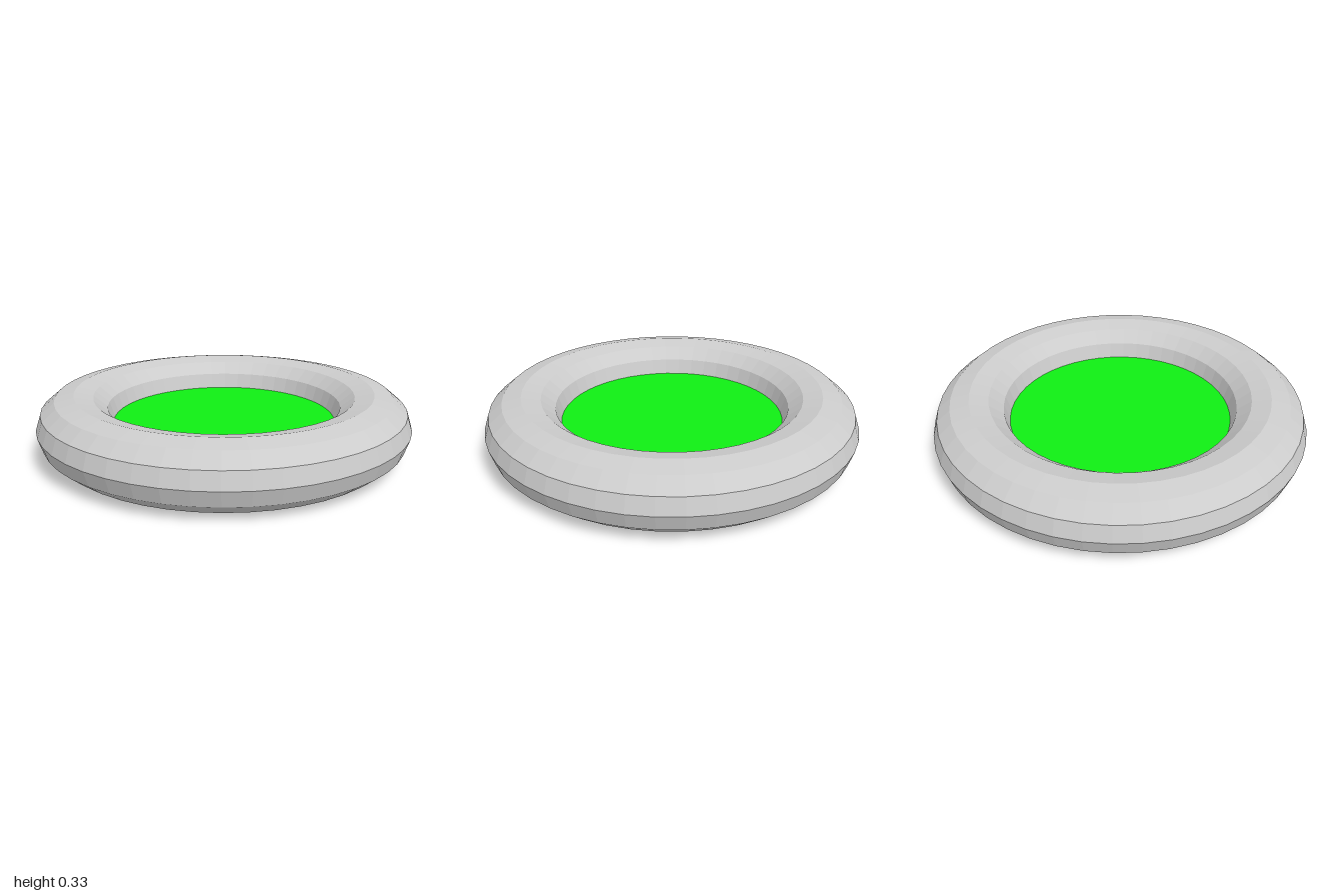
import * as THREE from 'three';

const SEGMENTS = 48; // around the ring
const SIDES = 12;    // around the tube
const MID = 0.165;   // half the height
const RADIUS = 0.8;  // centre line of the tube
const TUBE = 0.2;    // half the tube width

export function createModel() {
  const model = new THREE.Group();

  // Ring: a slightly flattened tube, revolved around y
  const profile = [];
  for (let i = 0; i <= SIDES; i++) {
    const a = (i / SIDES) * Math.PI * 2;
    profile.push(new THREE.Vector2(RADIUS + TUBE * Math.cos(a), MID + MID * Math.sin(a)));
  }
  const ring = new THREE.Mesh(
    new THREE.LatheGeometry(profile, SEGMENTS),
    new THREE.MeshStandardMaterial({ color: 0xcccccc, flatShading: true })
  );
  ring.name = 'ring';
  model.add(ring);

  // Flat panel closing the hole at mid height
  const panel = new THREE.Mesh(
    new THREE.CircleGeometry(RADIUS - TUBE, SEGMENTS).rotateX(-Math.PI / 2),
    new THREE.MeshStandardMaterial({ color: 0x10ee14, side: THREE.DoubleSide })
  );
  panel.name = 'centrePanel';
  panel.position.y = MID;
  model.add(panel);

  return model;
}
